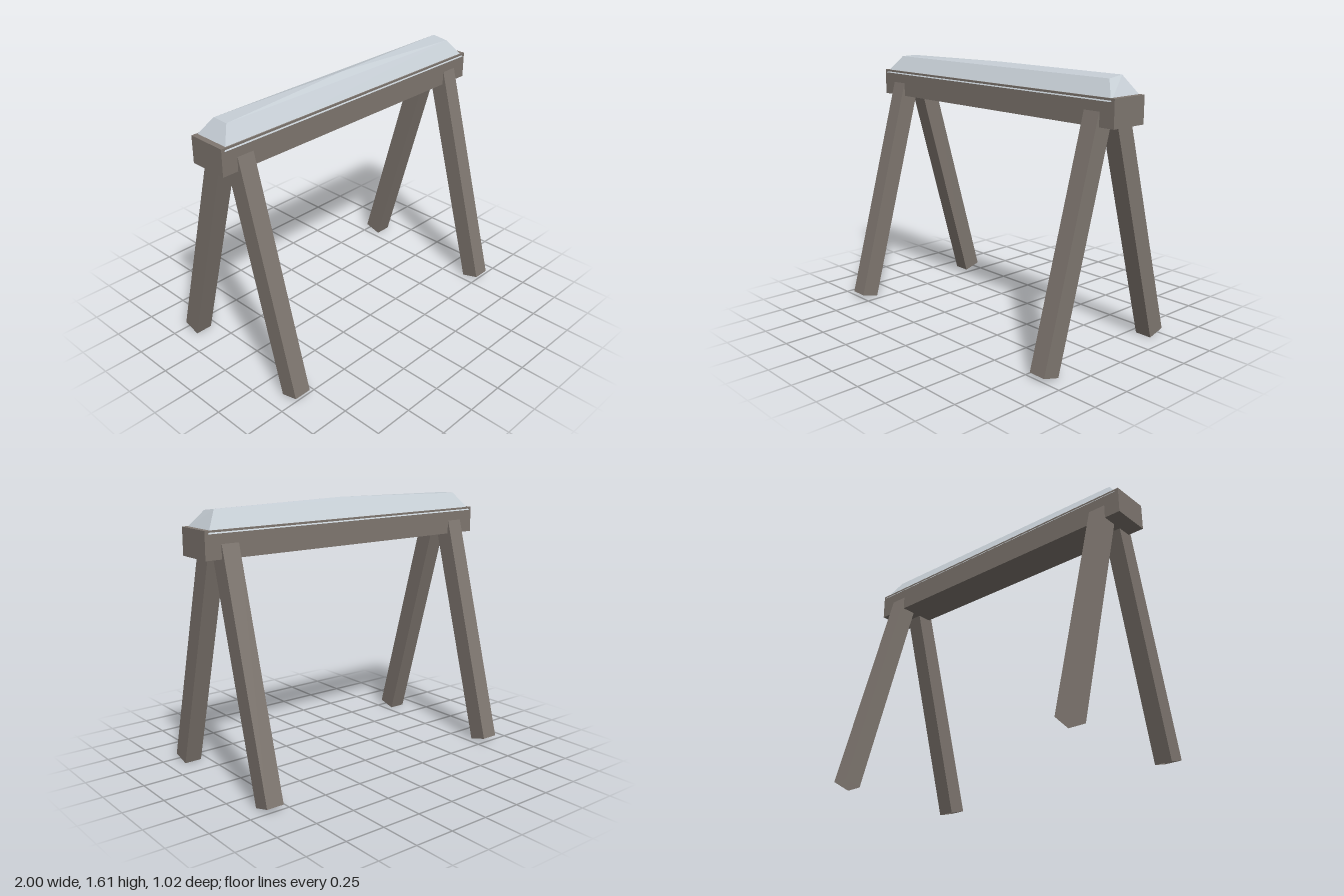
import * as THREE from 'three';

const wood = new THREE.MeshStandardMaterial({ color: 0x7f7770, flatShading: true, side: THREE.DoubleSide });
wood.name = 'weathered wood';
const snow = new THREE.MeshStandardMaterial({ color: 0xc6ced5, flatShading: true, side: THREE.DoubleSide });
snow.name = 'snow';

function addMesh(parent, name, geometry, material) {
  const mesh = new THREE.Mesh(geometry, material);
  mesh.name = name;
  parent.add(mesh);
  return mesh;
}

// Square tube leg, open at both ends, leaning in towards the beam
function legGeometry(width, depth, length) {
  const geometry = new THREE.BoxGeometry(width, length, depth);
  const index = Array.from(geometry.index.array);
  index.splice(12, 12); // drop the top and bottom faces
  geometry.setIndex(index);
  geometry.clearGroups();
  geometry.translate(0, length / 2, 0);
  return geometry;
}

// Snow cap: a sloping skirt around a slightly peaked, uneven top
function capGeometry() {
  const base = [[-0.98, 1.476, 0.127], [0.98, 1.476, 0.127], [0.98, 1.476, -0.127], [-0.98, 1.476, -0.127]];
  const rim = [[-0.9, 1.585, 0.05], [0.9, 1.585, 0.05], [0.9, 1.598, -0.053], [-0.9, 1.587, -0.053]];
  const peak = [0, 1.608, 0];
  const points = [];
  for (let i = 0; i < 4; i++) {
    const j = (i + 1) % 4;
    points.push(base[i], base[j], rim[j], base[i], rim[j], rim[i]);
    points.push(rim[i], rim[j], peak);
  }
  const geometry = new THREE.BufferGeometry();
  geometry.setAttribute('position', new THREE.Float32BufferAttribute(points.flat(), 3));
  geometry.computeVertexNormals();
  return geometry;
}

export function createModel() {
  const model = new THREE.Group();
  model.name = 'sawhorse';

  // Top beam
  addMesh(model, 'beam', new THREE.BoxGeometry(2, 0.16, 0.244), wood).position.y = 1.415;

  // Four splayed legs
  const legShape = legGeometry(0.108, 0.114, 1.44);
  const lean = 0.271;
  for (const x of [-1, 1]) {
    for (const z of [-1, 1]) {
      const name = (z > 0 ? 'front' : 'back') + (x > 0 ? 'Left' : 'Right') + 'Leg';
      const leg = addMesh(model, name, legShape, wood);
      leg.position.set(x * 0.846, 0.0155, z * 0.454);
      leg.rotation.x = -z * lean;
    }
  }

  // Snow lying along the beam
  addMesh(model, 'snowCap', capGeometry(), snow);
  return model;
}
